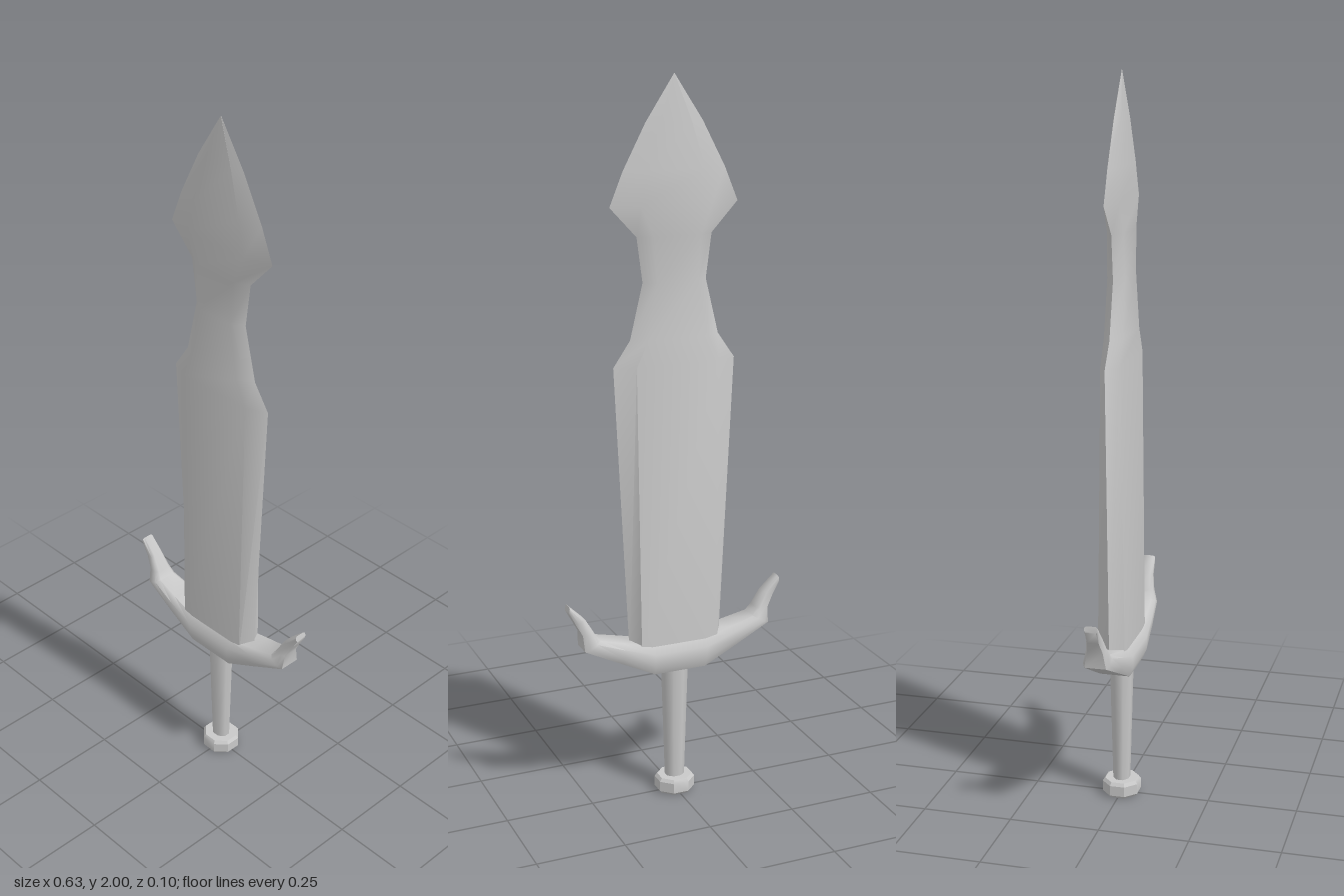
import * as THREE from 'three';
import { toCreasedNormals } from 'three/addons/utils/BufferGeometryUtils.js';

// Skins a list of closed rings (arrays of [x, y, z]) and caps both ends
function loft(rings, crease) {
  const n = rings[0].length, index = [];
  for (let r = 0; r < rings.length - 1; r++) {
    for (let i = 0; i < n; i++) {
      const a = r * n + i, b = r * n + (i + 1) % n;
      index.push(a, b, b + n, a, b + n, a + n);
    }
  }
  const last = (rings.length - 1) * n;
  for (let i = 1; i < n - 1; i++) {
    index.push(0, i + 1, i, last, last + i, last + i + 1);
  }
  const g = new THREE.BufferGeometry();
  g.setAttribute('position', new THREE.Float32BufferAttribute(rings.flat(2), 3));
  g.setIndex(index);
  return toCreasedNormals(g, crease);
}

export function createModel() {
  const model = new THREE.Group();
  const steel = new THREE.MeshStandardMaterial({ color: 0xc8c8c8 });
  steel.name = 'grey steel';

  const add = (name, geometry) => {
    const mesh = new THREE.Mesh(geometry, steel);
    mesh.name = name;
    model.add(mesh);
    return mesh;
  };

  // Blade: hexagonal sections [y, half width, half width of flat, half depth]
  const blade = [
    [0.43, 0.134, 0.112, 0.038],
    [1.25, 0.174, 0.118, 0.027],
    [1.32, 0.126, 0.085, 0.026],
    [1.47, 0.09, 0.058, 0.024],
    [1.59, 0.106, 0.066, 0.022],
    [1.67, 0.18, 0.1, 0.02],
    [1.76, 0.143, 0.08, 0.017],
    [1.88, 0.08, 0.045, 0.01],
    [2.0, 0.001, 0.0005, 0.0005],
  ].map(([y, w, f, d]) => [
    [w, y, 0], [f, y, -d], [-f, y, -d], [-w, y, 0], [-f, y, d], [f, y, d],
  ]);
  add('blade', loft(blade, 0.75));

  // Crossguard half: [lower x, lower y, upper x, upper y, half depth]
  const arm = [
    [0.075, 0.38, 0.08, 0.462, 0.052],
    [0.17, 0.425, 0.16, 0.482, 0.046],
    [0.275, 0.475, 0.23, 0.5, 0.037],
    [0.278, 0.52, 0.243, 0.52, 0.027],
    [0.296, 0.553, 0.268, 0.563, 0.02],
    [0.316, 0.588, 0.312, 0.605, 0.018],
  ];
  // Chamfered rectangle spanning the lower and upper point
  const section = ([lx, ly, ux, uy, d], side) => {
    const at = (t, z) => [side * (lx + (ux - lx) * t), ly + (uy - ly) * t, z];
    return [
      at(0, d * 0.8), at(0, -d * 0.8), at(0.3, -d), at(0.75, -d),
      at(1, -d * 0.7), at(1, d * 0.7), at(0.75, d), at(0.3, d),
    ];
  };
  const guard = [
    ...[...arm].reverse().map((s) => section(s, -1)),
    ...arm.map((s) => section(s, 1)),
  ];
  add('crossguard', loft(guard, 0.9));

  // Grip: eight-sided, narrowing towards the pommel
  const grip = new THREE.CylinderGeometry(0.039, 0.028, 0.36, 8);
  grip.rotateY(Math.PI / 8);
  grip.scale(1, 1, 0.85);
  add('grip', grip).position.y = 0.22;

  // Pommel: chamfered eight-sided block
  const profile = [[0, 0], [0.051, 0], [0.057, 0.007], [0.057, 0.036], [0.05, 0.045], [0, 0.045]];
  const pommel = new THREE.LatheGeometry(profile.map(([x, y]) => new THREE.Vector2(x, y)), 8);
  pommel.rotateY(Math.PI / 8);
  pommel.scale(1, 1, 0.95);
  add('pommel', toCreasedNormals(pommel, 0.6));

  return model;
}
